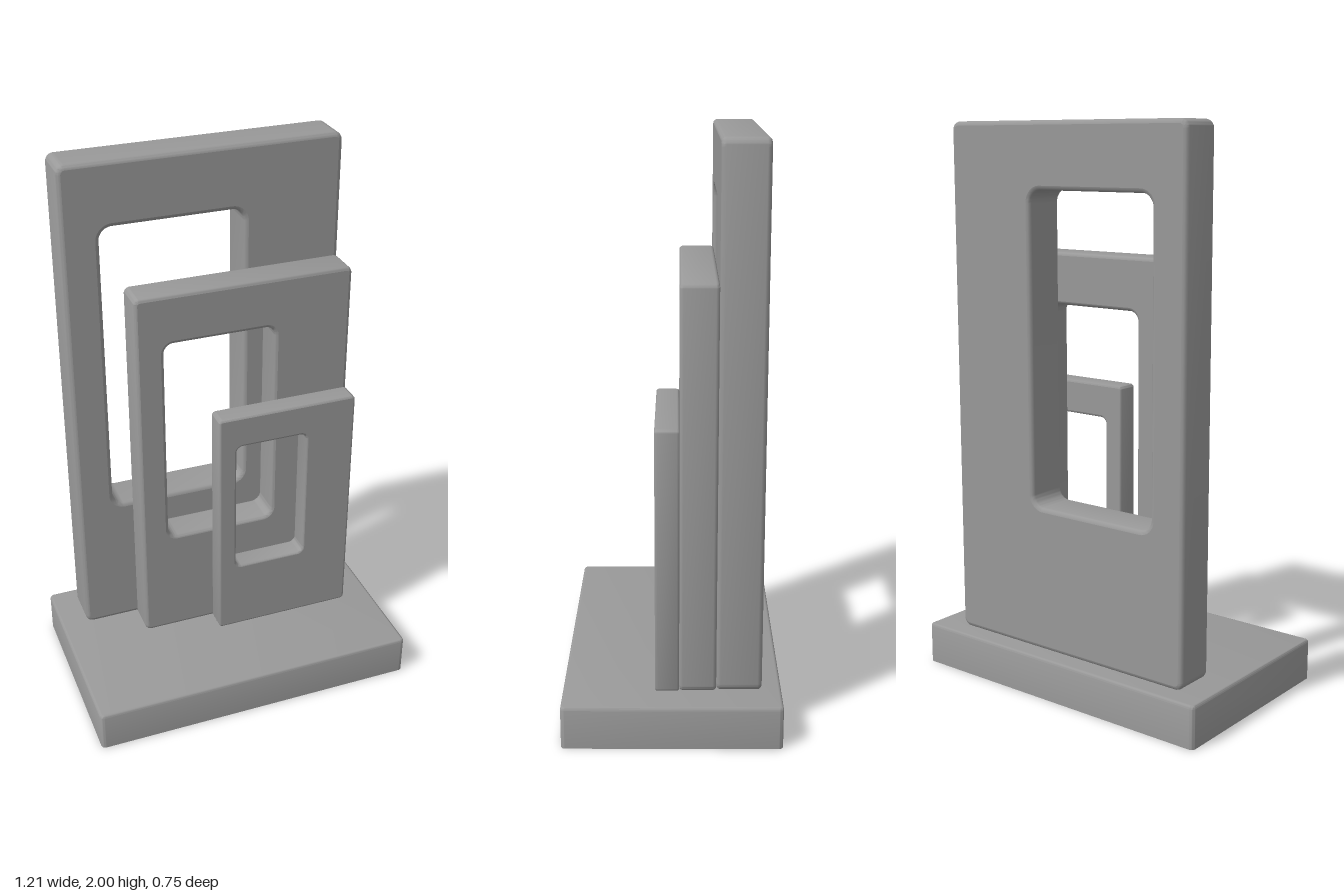
import * as THREE from 'three';
import { mergeGeometries, toCreasedNormals } from 'three/addons/utils/BufferGeometryUtils.js';

const CREASE = 0.7;

// Traces a rectangle with rounded corners on a Shape or Path.
function roundedRect(path, x0, x1, y0, y1, r) {
  path.moveTo(x0 + r, y0);
  path.lineTo(x1 - r, y0);
  path.absarc(x1 - r, y0 + r, r, -Math.PI / 2, 0);
  path.lineTo(x1, y1 - r);
  path.absarc(x1 - r, y1 - r, r, 0, Math.PI / 2);
  path.lineTo(x0 + r, y1);
  path.absarc(x0 + r, y1 - r, r, Math.PI / 2, Math.PI);
  path.lineTo(x0, y0 + r);
  path.absarc(x0 + r, y0 + r, r, Math.PI, Math.PI * 1.5);
  return path;
}

// Extrudes a shape to exactly the given thickness, with softened edges.
function softExtrude(shape, thickness, bevel) {
  return new THREE.ExtrudeGeometry(shape, {
    depth: thickness - 2 * bevel,
    bevelThickness: bevel,
    bevelSize: bevel,
    bevelOffset: -bevel,
    bevelSegments: 3,
    curveSegments: 6,
  }).translate(0, 0, bevel);
}

// Copies the triangles that pass a test on their three corners.
function pickTriangles(geometry, test) {
  const p = geometry.attributes.position;
  const kept = [];
  for (let i = 0; i < p.count; i += 3) {
    const corners = [0, 1, 2].map((k) => new THREE.Vector3().fromBufferAttribute(p, i + k));
    if (test(corners)) corners.forEach((c) => kept.push(c.x, c.y, c.z));
  }
  const picked = new THREE.BufferGeometry();
  picked.setAttribute('position', new THREE.Float32BufferAttribute(kept, 3));
  picked.computeVertexNormals();
  return picked;
}

// Upright slab with a rounded window: flat faces, smooth rim.
function panelGeometry({ outer, window, windowRadius, radius, z, bevel }) {
  const shape = roundedRect(new THREE.Shape(), ...outer, radius);
  shape.holes.push(roundedRect(new THREE.Path(), ...window, windowRadius));
  const solid = softExtrude(shape, z[1] - z[0], bevel).translate(0, 0, z[0]);
  const isFace = ([a, b, c]) => Math.abs(a.z - b.z) + Math.abs(b.z - c.z) < 1e-5;
  const faces = pickTriangles(solid, isFace);
  const rim = pickTriangles(solid, (corners) => !isFace(corners));
  return mergeGeometries([faces, toCreasedNormals(rim, CREASE)]);
}

// Plinth shell: soft top edges, open underneath.
function plinthGeometry(halfX, halfZ, height) {
  const bevel = 0.01;
  const shape = roundedRect(new THREE.Shape(), -halfX, halfX, -halfZ, halfZ, 0.016);
  const solid = softExtrude(shape, height + bevel, bevel)
    .rotateX(-Math.PI / 2)
    .translate(0, -bevel, 0);
  const shell = pickTriangles(solid, (corners) => corners.some((c) => c.y > 1e-4));
  return toCreasedNormals(shell, CREASE);
}

export function createModel() {
  const group = new THREE.Group();
  group.name = 'steppedFrames';
  const material = new THREE.MeshStandardMaterial({ color: 0x999999 });
  const shellMaterial = new THREE.MeshStandardMaterial({ color: 0x999999, side: THREE.DoubleSide });

  const add = (name, geometry, mat) => {
    const mesh = new THREE.Mesh(geometry, mat);
    mesh.name = name;
    group.add(mesh);
  };

  add('plinth', plinthGeometry(0.605, 0.373, 0.15), shellMaterial);

  // Three framed slabs, flush on one side and stepping down to the front.
  const panels = {
    tallPanel: {
      outer: [-0.51, 0.493, 0.15, 2], radius: 0.03, bevel: 0.015,
      window: [-0.378, 0.136, 0.674, 1.772], windowRadius: 0.045, z: [-0.305, -0.15],
    },
    middlePanel: {
      outer: [-0.307, 0.493, 0.15, 1.555], radius: 0.022, bevel: 0.012,
      window: [-0.205, 0.206, 0.568, 1.372], windowRadius: 0.036, z: [-0.15, -0.024],
    },
    shortPanel: {
      outer: [-0.036, 0.493, 0.15, 1.08], radius: 0.015, bevel: 0.008,
      window: [0.032, 0.304, 0.428, 0.958], windowRadius: 0.024, z: [-0.024, 0.058],
    },
  };
  for (const [name, spec] of Object.entries(panels)) add(name, panelGeometry(spec), material);

  return group;
}
